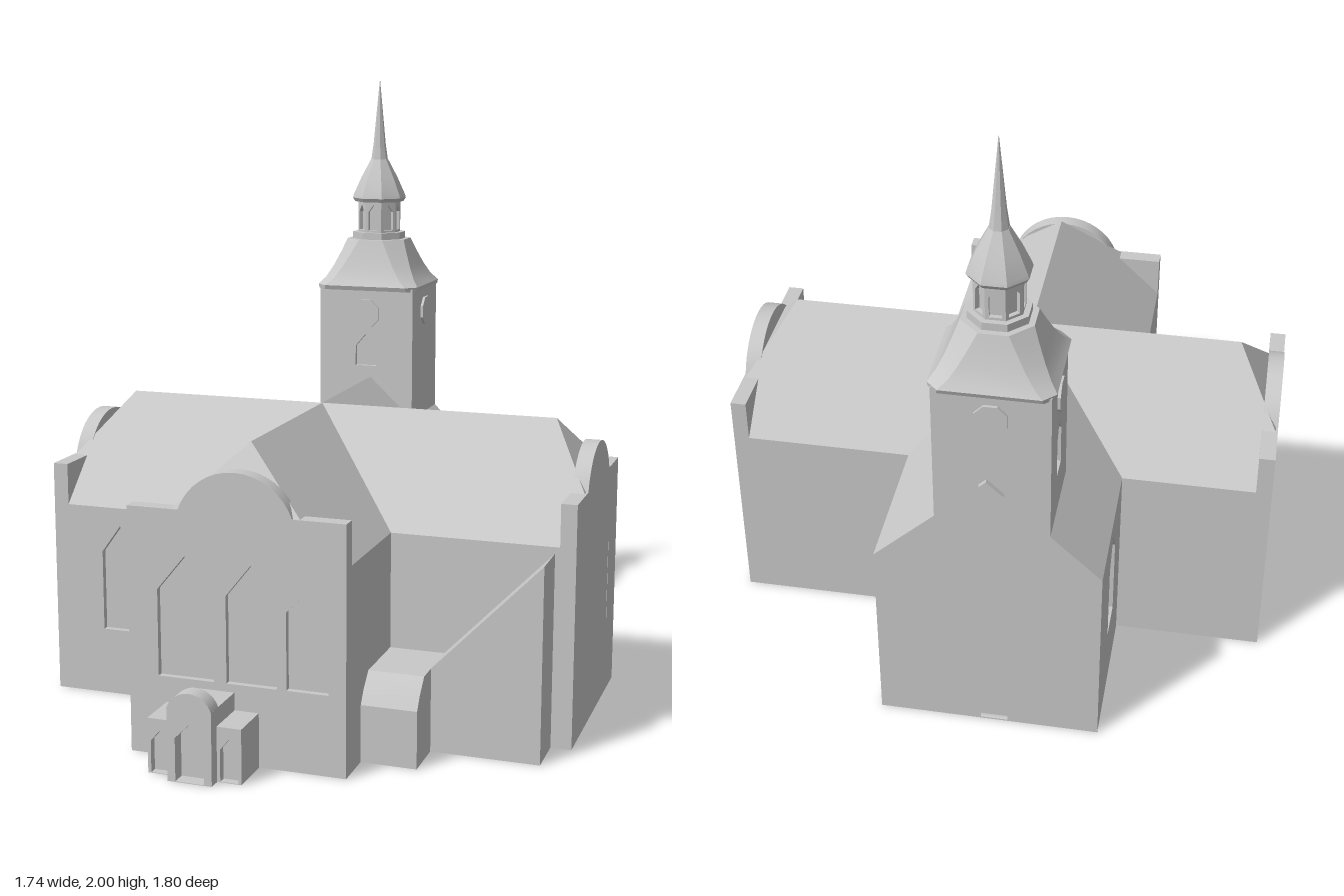
import * as THREE from 'three';
import { toCreasedNormals } from 'three/addons/utils/BufferGeometryUtils.js';
import { ConvexGeometry } from 'three/addons/geometries/ConvexGeometry.js';

const C = -0.055, HALF = 0.345, EAVE = 0.635, RIDGE = 0.96; // crossing centre and roof heights
const LO = C - HALF, HI = C + HALF;
const stone = new THREE.MeshStandardMaterial({ color: 0xc8c8c8 });
stone.name = 'paleStone';

// wall directions: rotation about y, sign of the running coordinate, axis of the wall position
const SIDES = {
  front: [0, 1, 'z'], east: [Math.PI / 2, -1, 'x'],
  back: [Math.PI, -1, 'z'], west: [-Math.PI / 2, 1, 'x'],
};

function add(parent, name, geometry, x = 0, y = 0, z = 0) {
  const mesh = new THREE.Mesh(toCreasedNormals(geometry, 0.5), stone);
  mesh.name = name;
  mesh.position.set(x, y, z);
  parent.add(mesh);
  return mesh;
}

// box given by its limits
function block(parent, name, x0, x1, y0, y1, z0, z1) {
  return add(parent, name, new THREE.BoxGeometry(x1 - x0, y1 - y0, z1 - z0),
    (x0 + x1) / 2, (y0 + y1) / 2, (z0 + z1) / 2);
}

// pointed opening: left, right, sill, shoulder, apex
const lancet = (a, b, y0, y1, y2) => [[a, y0], [b, y0], [b, y1], [(a + b) / 2, y2], [a, y1]];
const rect = (a, b, y0, y1) => [[a, y0], [b, y0], [b, y1], [a, y1]];

// wall slab with openings, its outer face lying at pos
function wall(parent, name, side, pos, outline, holes = [], depth = 0.03) {
  const [rot, sign, axis] = SIDES[side];
  const pts = (list) => list.map(([c, y]) => new THREE.Vector2(c * sign, y));
  const shape = new THREE.Shape(pts(outline));
  shape.holes = holes.map((h) => new THREE.Path(pts(h)));
  const g = new THREE.ExtrudeGeometry(shape, { depth, bevelEnabled: false });
  g.translate(0, 0, -depth);
  const mesh = add(parent, name, g);
  mesh.rotation.y = rot;
  mesh.position[axis] = pos;
  return mesh;
}

// outline with a round arch on top
function arched(a, b, shoulder, halfChord, rise) {
  const c = (a + b) / 2, r = (halfChord ** 2 + rise ** 2) / (2 * rise);
  const cy = shoulder + rise - r, span = Math.atan2(halfChord, shoulder - cy);
  const pts = [[a, 0], [b, 0], [b, shoulder]];
  for (let i = 0; i <= 16; i++) {
    const t = span * (1 - i / 8);
    pts.push([c + r * Math.sin(t), cy + r * Math.cos(t)]);
  }
  pts.push([a, shoulder]);
  return pts;
}

// eight-sided loft with cut corners; sections are [y, halfX, halfZ, cut]
function loft(sections) {
  const pos = [], idx = [], n = 8;
  for (const [y, hx, hz, c] of sections) {
    for (const [x, z] of [[hx, c - hz], [hx, hz - c], [hx - c, hz], [c - hx, hz],
      [-hx, hz - c], [-hx, c - hz], [c - hx, -hz], [hx - c, -hz]]) pos.push(x, y, z);
  }
  for (let s = 0; s < sections.length - 1; s++) {
    for (let i = 0; i < n; i++) {
      const a = s * n + i, b = s * n + (i + 1) % n;
      idx.push(a, a + n, b + n, a, b + n, b);
    }
  }
  const top = (sections.length - 1) * n;
  for (let i = 1; i < n - 1; i++) idx.push(0, i, i + 1, top, top + i + 1, top + i);
  const g = new THREE.BufferGeometry();
  g.setAttribute('position', new THREE.Float32BufferAttribute(pos, 3));
  g.setIndex(idx);
  return g;
}

function buildBody(root) {
  const body = new THREE.Group();
  body.name = 'churchBody';
  root.add(body);
  const d = 0.02;
  block(body, 'naveCore', LO + d, HI - d, 0, EAVE, -0.88 + d, 0.725 - d);
  block(body, 'transeptCore', -0.87 + d, 0.87 - d, 0, EAVE, LO + d, HI - d);

  // gabled end walls rising above the roof
  const gable = arched(LO, HI, 0.77, 0.18, 0.125);
  wall(body, 'frontGable', 'front', 0.725, gable, [
    lancet(-0.305, -0.125, 0.25, 0.52, 0.63),
    lancet(-0.085, 0.075, 0.25, 0.52, 0.62),
    lancet(0.105, 0.235, 0.25, 0.49, 0.55)], 0.05);
  const pair = [lancet(0.02, 0.18, 0.25, 0.51, 0.615), lancet(-0.26, -0.10, 0.25, 0.51, 0.615)];
  wall(body, 'eastGable', 'east', 0.87, gable, pair, 0.05);
  wall(body, 'westGable', 'west', -0.87, gable, pair, 0.05);
  wall(body, 'backWall', 'back', -0.88, rect(LO, HI, 0, EAVE), [lancet(-0.115, -0.03, 0.005, 0.1, 0.15)]);

  // side walls of the arms, one window each
  const win = (c) => [lancet(c - 0.065, c + 0.065, 0.22, 0.485, 0.575)];
  wall(body, 'transeptFrontWest', 'front', HI, rect(-0.87, LO, 0, EAVE), win(-0.635));
  wall(body, 'transeptFrontEast', 'front', HI, rect(HI, 0.87, 0, EAVE));
  wall(body, 'transeptBackWest', 'back', LO, rect(-0.87, LO, 0, EAVE), win(-0.635));
  wall(body, 'transeptBackEast', 'back', LO, rect(HI, 0.87, 0, EAVE), win(0.58));
  wall(body, 'naveBackEast', 'east', HI, rect(-0.88, LO, 0, EAVE), win(-0.61));
  wall(body, 'naveBackWest', 'west', LO, rect(-0.88, LO, 0, EAVE), win(-0.61));
  wall(body, 'naveFrontEast', 'east', HI, rect(HI, 0.725, 0, EAVE));
  wall(body, 'naveFrontWest', 'west', LO, rect(HI, 0.725, 0, EAVE), win(0.5));

  // four roof arms meeting at the crossing, three of them half-hipped
  const arms = [['front', 0.778, 0.138], ['east', 0.923, 0.138], ['back', 0.825, 0], ['west', 0.813, 0.138]];
  for (const [side, len, hip] of arms) {
    const drop = hip * 1.43, w = drop * HALF / (RIDGE - EAVE);
    const pts = [];
    for (const s of [-1, 1]) {
      pts.push([s * HALF, EAVE, 0], [s * HALF, EAVE, len]);
      if (hip) pts.push([s * w, RIDGE - drop, len]);
    }
    pts.push([0, RIDGE, 0], [0, RIDGE, len - hip]);
    const roof = add(body, side + 'Roof', new ConvexGeometry(pts.map((p) => new THREE.Vector3(...p))), C, 0, C);
    roof.rotation.y = SIDES[side][0];
  }
}

function buildTower(root) {
  const tower = new THREE.Group();
  tower.name = 'tower';
  root.add(tower);
  const x0 = -0.244, x1 = 0.1, z0 = -0.88, z1 = -0.575, cx = -0.072, cz = -0.7275, d = 0.015;
  block(tower, 'towerCore', x0 + d, x1 - d, 0.7, 1.28, z0 + d, z1 - d);
  const tall = (c) => [lancet(c - 0.038, c + 0.038, 0.915, 1.04, 1.095)];
  wall(tower, 'towerFront', 'front', z1, rect(x0, x1, 0.7, 1.28), [lancet(-0.11, -0.034, 1, 1.07, 1.115)]);
  wall(tower, 'towerBack', 'back', z0, rect(x0, x1, 0.7, 1.28), tall(cx));
  wall(tower, 'towerEast', 'east', x1, rect(z0, z1, 0.7, 1.28), tall(cz));
  wall(tower, 'towerWest', 'west', x0, rect(z0, z1, 0.7, 1.28), tall(cz));

  // octagonal clock plates
  for (const [side, pos, c] of [['front', z1, cx], ['back', z0, cx], ['east', x1, cz], ['west', x0, cz]]) {
    const ring = [];
    for (let i = 0; i < 8; i++) {
      const a = (i + 0.5) * Math.PI / 4;
      ring.push([c + 0.053 * Math.cos(a), 1.188 + 0.053 * Math.sin(a)]);
    }
    wall(tower, side + 'Clock', side, pos + (pos === x1 || pos === z1 ? 0.009 : -0.009), ring, [], 0.012);
  }

  // bell-shaped roof turning from square to octagon
  const profile = [[1.27, 0.181], [1.285, 0.184], [1.31, 0.163], [1.35, 0.142], [1.4, 0.121], [1.443, 0.105]];
  add(tower, 'bellRoof', loft(profile.map(([y, h], i) => {
    const t = i / (profile.length - 1);
    return [y, h, h - 0.016 * (1 - t), 0.03 + (0.586 * 0.105 - 0.03) * t];
  })), cx, 0, cz);

  // octagonal lantern, cap and spire
  const oct = (name, ...rings) => add(tower, name, loft(rings.map(([y, h]) => [y, h, h, h * 0.586])), cx, 0, cz);
  oct('lanternBase', [1.44, 0.087], [1.467, 0.087]);
  oct('lanternCore', [1.46, 0.056], [1.59, 0.056]);
  for (let i = 0; i < 8; i++) {
    const a = i * Math.PI / 4;
    const panel = wall(tower, 'lanternPanel', 'front', 0, rect(-0.029, 0.029, 1.46, 1.59),
      [lancet(-0.018, 0.018, 1.475, 1.54, 1.565)], 0.016);
    panel.rotation.y = a;
    panel.position.set(cx + 0.07 * Math.sin(a), 0, cz + 0.07 * Math.cos(a));
  }
  oct('lanternCap', [1.575, 0.08], [1.588, 0.088], [1.6, 0.085], [1.66, 0.06], [1.725, 0.028]);
  oct('spire', [1.72, 0.028], [1.78, 0.02], [2, 0.0008]);
}

function buildPorch(root) {
  const porch = new THREE.Group();
  porch.name = 'porch';
  root.add(porch);
  block(porch, 'porchHall', -0.2, -0.06, 0, 0.225, 0.71, 0.86);
  for (const [name, a, b] of [['westWing', -0.28, -0.2], ['eastWing', -0.06, 0.017]]) {
    block(porch, name + 'Core', a, b, 0, 0.17, 0.71, 0.84);
    wall(porch, name + 'Face', 'front', 0.865, rect(a, b, 0, 0.17),
      [lancet(a + 0.01, b - 0.01, 0.002, 0.1, 0.135)], 0.026);
  }
  wall(porch, 'portal', 'front', 0.905, arched(-0.2, -0.06, 0.225, 0.0699, 0.05),
    [lancet(-0.175, -0.085, 0.002, 0.135, 0.18)], 0.055);
}

function buildAnnex(root) {
  const annex = new THREE.Group();
  annex.name = 'annex';
  root.add(annex);
  // lean-to climbing along the transept wall
  wall(annex, 'slopedAnnex', 'front', 0.44,
    [[0.28, 0], [0.805, 0], [0.805, 0.615], [0.465, 0.265], [0.28, 0.265]], [], 0.16);
  // low block with a bevelled front
  wall(annex, 'lowAnnex', 'east', 0.465,
    [[0.28, 0], [0.588, 0], [0.588, 0.18], [0.56, 0.222], [0.515, 0.265], [0.28, 0.265]], [], 0.185);
}

export function createModel() {
  const root = new THREE.Group();
  root.name = 'church';
  buildBody(root);
  buildTower(root);
  buildPorch(root);
  buildAnnex(root);
  return root;
}
